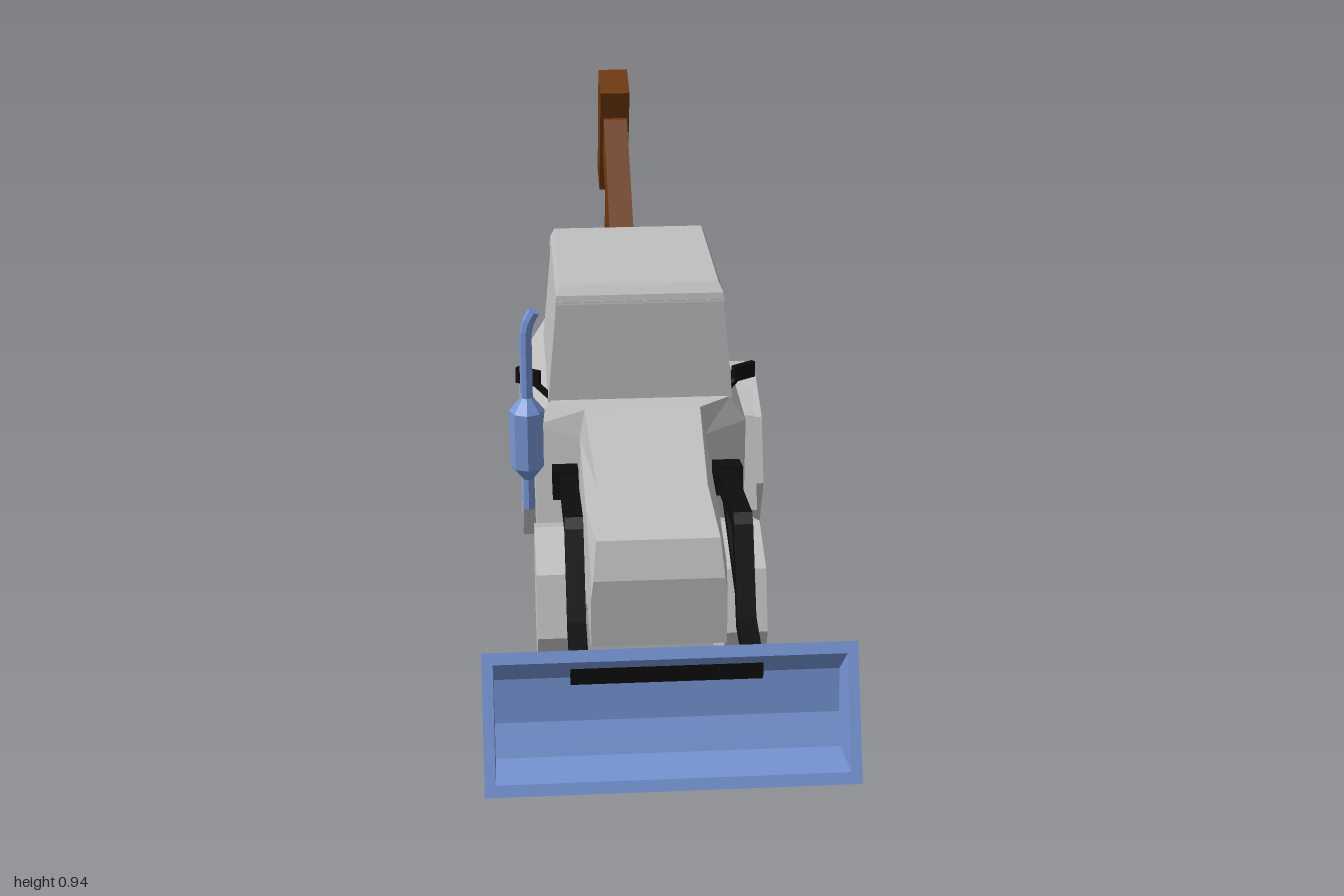
import * as THREE from 'three';

const mat = (name, color) => {
  const m = new THREE.MeshStandardMaterial({ color });
  m.name = name;
  return m;
};

// Closed faceted geometry from triangles, turned outward by its signed volume
function solid(tris) {
  const volume = tris.reduce((s, [a, b, c]) => s + a.dot(b.clone().cross(c)), 0);
  const pos = [];
  for (const [a, b, c] of tris) {
    for (const p of volume < 0 ? [a, c, b] : [a, b, c]) pos.push(p.x, p.y, p.z);
  }
  const g = new THREE.BufferGeometry();
  g.setAttribute('position', new THREE.Float32BufferAttribute(pos, 3));
  return g;
}

const quad = (a, b, c, d) => [[a, b, c], [a, c, d]];
const vec = (x, y, z) => new THREE.Vector3(x, y, z);

// Skin over a list of rings with equal point counts, capped at both ends
function loft(rings) {
  const t = [], n = rings[0].length, last = rings[rings.length - 1];
  for (let r = 0; r < rings.length - 1; r++) {
    for (let i = 0; i < n; i++) {
      const j = (i + 1) % n;
      t.push(...quad(rings[r][i], rings[r][j], rings[r + 1][j], rings[r + 1][i]));
    }
  }
  for (let i = 1; i < n - 1; i++) {
    t.push([rings[0][0], rings[0][i + 1], rings[0][i]], [last[0], last[i], last[i + 1]]);
  }
  return solid(t);
}

// Side profile of [z, y] points extended from x0 to x1
function prism(points, x0, x1) {
  const shape = new THREE.Shape(points.map(([z, y]) => new THREE.Vector2(-z, y)));
  return new THREE.ExtrudeGeometry(shape, { depth: x1 - x0, bevelEnabled: false })
    .rotateY(Math.PI / 2).translate(x0, 0, 0);
}

// Straight bar in the side plane
function bar([z1, y1], [z2, y2], thick, x0, x1) {
  const l = Math.hypot(z2 - z1, y2 - y1);
  const a = -(y2 - y1) / l * thick / 2, b = (z2 - z1) / l * thick / 2;
  return prism([[z1 + a, y1 + b], [z2 + a, y2 + b], [z2 - a, y2 - b], [z1 - a, y1 - b]], x0, x1);
}

function box(x0, x1, y0, y1, z0, z1) {
  return new THREE.BoxGeometry(x1 - x0, y1 - y0, z1 - z0)
    .translate((x0 + x1) / 2, (y0 + y1) / 2, (z0 + z1) / 2);
}

// Round strut between two points
function strut(a, b, r, sides = 8) {
  const d = b.clone().sub(a), g = new THREE.CylinderGeometry(r, r, d.length(), sides);
  g.applyQuaternion(new THREE.Quaternion().setFromUnitVectors(vec(0, 1, 0), d.normalize()));
  const m = a.clone().add(b).multiplyScalar(0.5);
  return g.translate(m.x, m.y, m.z);
}

// Hollow scoop: the mouth lies between the last and first profile points
function scoop(outer, inner, hw, innerHw) {
  const side = (pts, x) => pts.map(([z, y]) => vec(x, y, z));
  const L = side(outer, -hw), R = side(outer, hw);
  const l = side(inner, -innerHw), r = side(inner, innerHw);
  const t = [], n = outer.length;
  for (let i = 0; i < n - 1; i++) {
    t.push(...quad(L[i], L[i + 1], R[i + 1], R[i]));
    t.push(...quad(l[i], r[i], r[i + 1], l[i + 1]));
    if (i) {
      t.push([L[0], L[i + 1], L[i]], [R[0], R[i], R[i + 1]]);
      t.push([l[0], l[i], l[i + 1]], [r[0], r[i + 1], r[i]]);
    }
  }
  const O = [L[0], R[0], R[n - 1], L[n - 1]], I = [l[0], r[0], r[n - 1], l[n - 1]];
  for (let k = 0; k < 4; k++) {
    const j = (k + 1) % 4;
    t.push(...quad(O[k], O[j], I[j], I[k]));
  }
  return solid(t);
}

export function createModel() {
  const root = new THREE.Group();
  root.name = 'tractor';
  const grey = mat('bodyGrey', 0xc0c0c0), blue = mat('bucketBlue', 0x7796d6);
  const brown = mat('boomBrown', 0x6f3a0f), black = mat('armBlack', 0x0d0d0d);

  const add = (name, geometry, material) => {
    const g = geometry.index ? geometry.toNonIndexed() : geometry;
    g.computeVertexNormals();
    const m = new THREE.Mesh(g, material);
    m.name = name;
    root.add(m);
  };

  // Hood, flare and rear body with wheel arch: z, bottom y, side half width, shoulder y, top half width, top y
  const cx = -0.004;
  const sections = [
    [0.685, 0.2, 0.13, 0.3, 0.125, 0.34], [0.655, 0.19, 0.13, 0.36, 0.118, 0.41],
    [0.505, 0.19, 0.13, 0.4, 0.108, 0.45], [0.22, 0.165, 0.13, 0.43, 0.12, 0.493],
    [0.17, 0.143, 0.222, 0.44, 0.188, 0.495], [0, 0.143, 0.222, 0.44, 0.188, 0.495],
    [-0.08, 0.33, 0.222, 0.44, 0.188, 0.495], [-0.12, 0.37, 0.222, 0.44, 0.188, 0.495],
    [-0.22, 0.395, 0.222, 0.44, 0.188, 0.495], [-0.315, 0.4, 0.222, 0.44, 0.188, 0.495],
  ];
  add('body', loft(sections.map(([z, y0, w, y1, tw, y2]) => [
    vec(cx - w, y0, z), vec(cx + w, y0, z), vec(cx + w, y1, z),
    vec(cx + tw, y2, z), vec(cx - tw, y2, z), vec(cx - w, y1, z),
  ])), grey);
  add('rearChassis', box(-0.135, 0.13, 0.143, 0.42, -0.3, 0.02), grey);

  // Cab and roof: y, half width, front z, back z
  const rects = rows => loft(rows.map(([y, w, f, b]) => [
    vec(cx - w, y, f), vec(cx + w, y, f), vec(cx + w, y, b), vec(cx - w, y, b)]));
  add('cab', rects([[0.49, 0.193, 0.17, -0.225], [0.705, 0.173, 0.152, -0.222]]), grey);
  add('roof', rects([[0.7, 0.175, 0.153, -0.25], [0.718, 0.173, 0.148, -0.25],
    [0.737, 0.164, 0.132, -0.24]]), grey);

  // Wheels: radius, inner and outer x, z
  const wheels = {
    frontLeftWheel: [0.163, 0.135, 0.219, 0.42], frontRightWheel: [0.163, -0.234, -0.15, 0.42],
    rearLeftWheel: [0.195, 0.175, 0.287, -0.225], rearRightWheel: [0.195, -0.253, -0.13, -0.225],
  };
  for (const [name, [r, x0, x1, z]] of Object.entries(wheels)) {
    add(name, new THREE.CylinderGeometry(r, r, x1 - x0, 8).rotateZ(Math.PI / 2)
      .translate((x0 + x1) / 2, r, z), grey);
  }
  add('frontAxle', strut(vec(-0.16, 0.165, 0.42), vec(0.15, 0.165, 0.42), 0.03), grey);
  add('rearFender', prism([[0, 0.143], [-0.08, 0.34], [-0.13, 0.383], [-0.225, 0.406], [-0.305, 0.382],
    [-0.3, 0.368], [-0.225, 0.391], [-0.14, 0.37], [-0.09, 0.33], [-0.02, 0.143]], 0.17, 0.27), grey);

  // Exhaust stack
  const ex = -0.242, ez = 0.17;
  const profile = [[0, 0.25], [0.013, 0.25], [0.013, 0.32], [0.037, 0.35], [0.037, 0.475],
    [0.013, 0.505], [0.013, 0.65], [0, 0.65]].map(p => new THREE.Vector2(...p));
  add('exhaust', new THREE.LatheGeometry(profile, 8).translate(ex, 0, ez), blue);
  add('exhaustBend', strut(vec(ex, 0.645, ez), vec(ex + 0.006, 0.675, ez), 0.013), blue);
  add('exhaustTip', strut(vec(ex + 0.004, 0.668, ez), vec(ex + 0.018, 0.695, ez), 0.013), blue);

  // Mirrors and loader arms on both sides
  for (const s of [-1, 1]) {
    const side = s > 0 ? 'left' : 'right';
    const at = x => s * x + (s < 0 ? -0.018 : 0);
    add(side + 'Mirror', new THREE.BoxGeometry(0.055, 0.034, 0.012).rotateY(s * 0.55)
      .translate(at(0.219), 0.523, 0.103), black);
    add(side + 'MirrorArm', strut(vec(at(0.205), 0.512, 0.112), vec(at(0.175), 0.492, 0.14), 0.007, 4), black);

    const [x0, x1] = s > 0 ? [0.137, 0.173] : [-0.181, -0.146];
    const [p0, p1] = s > 0 ? [0.133, 0.189] : [-0.195, -0.143];
    add(side + 'LoaderPivot', bar([0.315, 0.385], [0.38, 0.397], 0.058, p0, p1), black);
    add(side + 'LoaderArm', prism([[0.34, 0.415], [0.655, 0.462], [0.672, 0.445], [0.75, 0.29],
      [0.84, 0.27], [0.83, 0.245], [0.735, 0.262], [0.64, 0.425], [0.34, 0.375]], x0, x1), black);
    add(side + 'LoaderRod', bar([0.4, 0.395], [0.74, 0.272], 0.024, x0 + 0.006, x1 - 0.006), black);
  }
  add('loaderCrossbar', box(-0.18, 0.172, 0.229, 0.262, 0.822, 0.87), black);

  // Buckets
  add('frontBucket', scoop(
    [[1, 0.08], [0.866, 0.053], [0.818, 0.13], [0.796, 0.23], [0.893, 0.314]],
    [[0.991, 0.1], [0.87, 0.078], [0.84, 0.135], [0.828, 0.22], [0.902, 0.294]], 0.34, 0.32), blue);
  add('rearBucket', scoop(
    [[-0.973, 0.233], [-0.845, 0.13], [-0.716, 0.19], [-0.64, 0.28], [-0.714, 0.436]],
    [[-0.95, 0.251], [-0.845, 0.16], [-0.735, 0.21], [-0.672, 0.285], [-0.742, 0.414]], 0.117, 0.091), blue);

  // Rear digging arm
  add('rearMount', box(-0.11, 0.108, 0.4, 0.615, -0.415, -0.22), brown);
  add('swingPivot', loft([[-0.41, 0.085], [-0.488, 0.045]].map(([z, w]) => [
    vec(-w, 0.425, z), vec(w, 0.425, z), vec(w, 0.598, z), vec(-w, 0.598, z)])), brown);
  add('boom', prism([[-0.47, 0.585], [-0.77, 0.84], [-0.84, 0.84], [-0.84, 0.755], [-0.47, 0.46]],
    -0.029, 0.028), brown);
  add('boomHead', prism([[-0.764, 0.908], [-0.862, 0.943], [-0.94, 0.665], [-0.85, 0.638]],
    -0.037, 0.034), brown);
  add('dipperStick', prism([[-0.803, 0.65], [-0.875, 0.67], [-1, 0.225], [-0.946, 0.218]],
    -0.021, 0.02), brown);
  return root;
}
